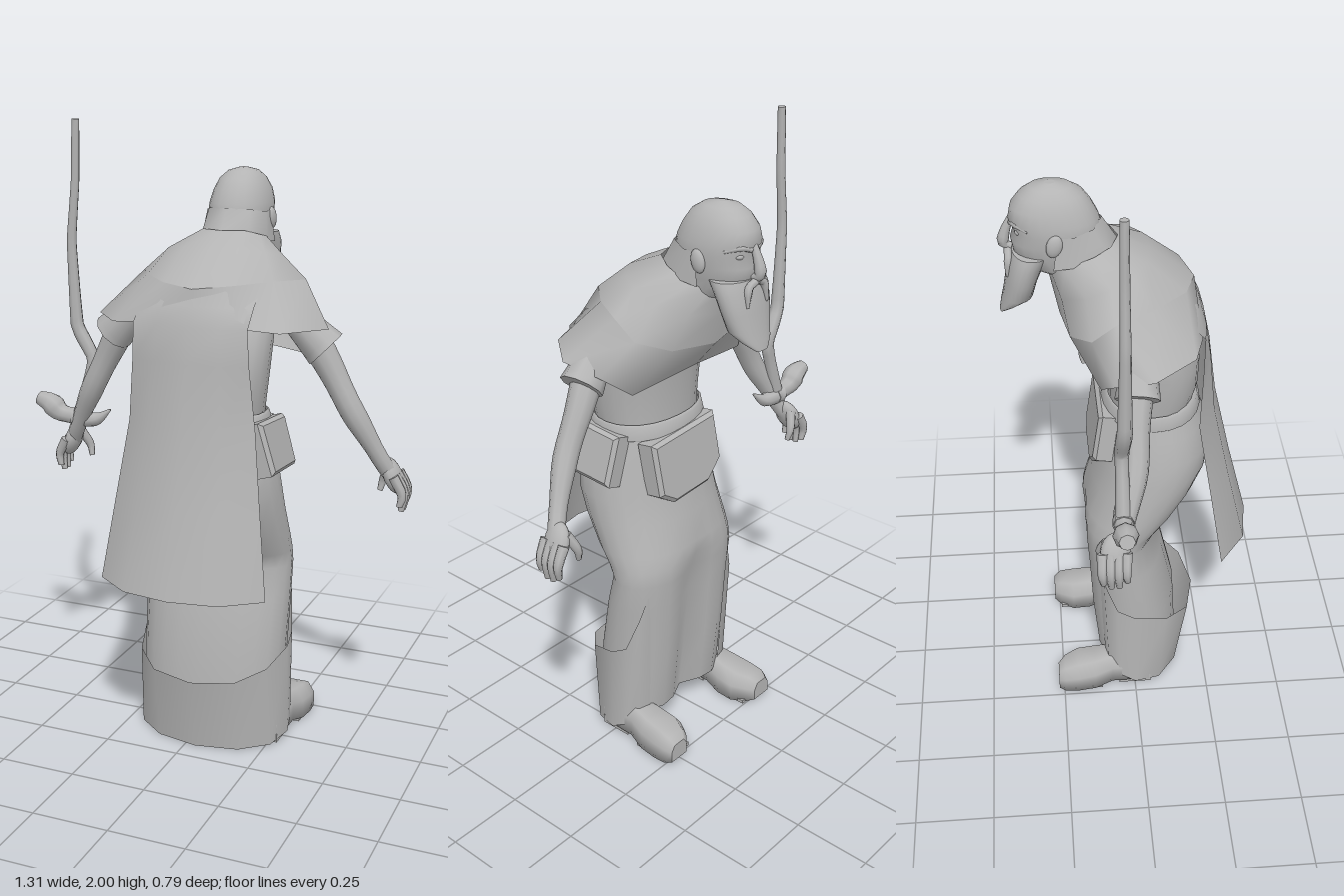
import * as THREE from 'three';

const grey = new THREE.MeshStandardMaterial({ color: 0xb4b4b4, side: THREE.DoubleSide });
grey.name = 'grey';
const V = (p) => new THREE.Vector3(...p);

function add(parent, name, geometry) {
  const mesh = new THREE.Mesh(geometry, grey);
  mesh.name = name;
  parent.add(mesh);
  return mesh;
}

// Skin a list of cross-sections; optional end caps
function loft(rings, closed = true, caps = false) {
  const n = rings[0].length, pos = rings.flat(2), idx = [];
  for (let r = 0; r < rings.length - 1; r++)
    for (let i = 0; i < (closed ? n : n - 1); i++) {
      const a = r * n + i, b = r * n + (i + 1) % n;
      idx.push(a, a + n, b, b, a + n, b + n);
    }
  if (caps) [rings[0], rings[rings.length - 1]].forEach((ring, e) => {
    const s = pos.length / 3;
    const mid = [0, 1, 2].map((k) => ring.reduce((t, p) => t + p[k], 0) / n);
    pos.push(...ring.flat(), ...mid);
    for (let i = 0; i < n; i++) {
      const j = (i + 1) % n;
      idx.push(s + n, ...(e ? [s + j, s + i] : [s + i, s + j]));
    }
  });
  const g = new THREE.BufferGeometry();
  g.setAttribute('position', new THREE.Float32BufferAttribute(pos, 3));
  g.setIndex(idx);
  g.computeVertexNormals();
  return g;
}

// Horizontal oval from back to front depth, with a dent in the middle of the front
function oval(y, back, front, rx, dent = 0, n = 24) {
  const soft = (v) => Math.sign(v) * Math.abs(v) ** 0.92;
  return Array.from({ length: n }, (_, i) => {
    const a = -i / n * Math.PI * 2;
    const x = rx * soft(Math.sin(a));
    let z = (back + front) / 2 + (back - front) / 2 * soft(Math.cos(a));
    if (Math.cos(a) < 0) z += dent * Math.exp(-((x / 0.07) ** 2));
    return [x, y, z];
  });
}

// Mirror a half outline (starting on the centre line at the back)
const closedHalf = (h) => [...h, ...h.slice(1, -1).reverse().map(([x, y, z]) => [-x, y, z])];
const openHalf = (h) => [...h.slice(1).reverse().map(([x, y, z]) => [-x, y, z]), ...h];

// Tube with a changing radius; low tension gives sharper bends
function limb(points, radii, steps = 16, sides = 10, tension = 0.5) {
  const curve = new THREE.CatmullRomCurve3(points.map(V), false, 'catmullrom', tension);
  const f = curve.computeFrenetFrames(steps);
  const rings = [];
  for (let s = 0; s <= steps; s++) {
    const t = s / steps, q = t * (radii.length - 1), k = Math.min(Math.floor(q), radii.length - 2);
    const r = THREE.MathUtils.lerp(radii[k], radii[k + 1], q - k), c = curve.getPointAt(t);
    rings.push(Array.from({ length: sides }, (_, i) => {
      const a = -i / sides * Math.PI * 2;
      return c.clone().addScaledVector(f.normals[s], r * Math.cos(a))
        .addScaledVector(f.binormals[s], r * Math.sin(a)).toArray();
    }));
  }
  return loft(rings, true, true);
}

function ball(parent, name, p, s) {
  const m = add(parent, name, new THREE.SphereGeometry(1, 14, 10));
  m.position.set(...p);
  m.scale.set(...s);
  return m;
}

function pouch(parent, name, outline, w, h, d, p, turn, tilt, roll) {
  const s = new THREE.Shape(outline.map(([x, y]) => new THREE.Vector2(x * w, y * h)));
  const g = new THREE.ExtrudeGeometry(s, {
    depth: d, bevelThickness: 0.012, bevelSize: 0.012, bevelOffset: -0.012, bevelSegments: 1 });
  g.translate(0, 0, -d / 2);
  const m = add(parent, name, g);
  m.position.set(...p);
  m.rotation.set(tilt, turn, roll, 'YXZ');
}

function buildArm(side) {
  const arm = new THREE.Group();
  arm.name = side > 0 ? 'leftArm' : 'rightArm';
  add(arm, 'sleeve', limb([[.265, 1.425, .005], [.31, 1.38, .002], [.362, 1.328, -.005]], [.05, .058, .068], 6));
  add(arm, 'arm', limb([[.3, 1.4, .005], [.375, 1.27, -.01], [.44, 1.15, -.015], [.49, 1.06, -.035], [.535, .975, -.06], [.56, .93, -.08]],
    [.05, .046, .039, .038, .028, .026]));
  const palm = ball(arm, 'palm', [.565, .925, -.087], [.028, .062, .046]);
  palm.rotation.set(.15, 0, .4);
  for (let i = 0; i < 4; i++) {
    const z = -.053 - i * .024, drop = [.02, 0, 0, .015][i];
    add(arm, 'finger', limb([[.575, .93, z], [.604, .875, z - .003], [.598, .815 + drop, z]], [.018, .016, .01], 8, 7));
  }
  add(arm, 'thumb', limb([[.55, .95, -.11], [.525, .9, -.13], [.515, .86, -.125]], [.018, .015, .009], 8, 7));
  arm.scale.x = side;
  return arm;
}

function buildShoe(side) {
  const shoe = new THREE.Group();
  shoe.name = side > 0 ? 'leftShoe' : 'rightShoe';
  // Sections along the foot: z, half width, bottom, top, sideways shift
  const rows = [[.055, .04, .02, .09, 0], [0, .05, .02, .12, 0], [-.08, .052, .02, .12, 0], [-.14, .066, .005, .108, .002],
    [-.2, .07, .003, .1, .004], [-.245, .056, .003, .09, .016], [-.268, .038, .008, .07, .022]];
  add(shoe, 'upper', loft(rows.map(([z, w, b, t, s]) => [[-w, b], [-w, b + (t - b) * .6], [-w * .6, t], [w * .6, t],
    [w, b + (t - b) * .6], [w, b]].map(([x, y]) => [x + s, y, z])), true, true));
  const heel = add(shoe, 'heel', new THREE.BoxGeometry(.085, .03, .11));
  heel.position.set(0, .015, 0);
  const sole = add(shoe, 'sole', new THREE.BoxGeometry(.115, .012, .13));
  sole.position.set(.004, .006, -.18);
  add(shoe, 'leg', limb([[-.01, .08, -.01], [-.04, .22, -.02], [-.06, .35, -.03]], [.045, .05, .06], 6));
  shoe.position.x = .2 * side;
  shoe.scale.x = side;
  return shoe;
}

function buildHead() {
  const head = new THREE.Group();
  head.name = 'head';
  const rows = [[1.46, .06, -.17, .1], [1.56, -.03, -.22, .08], [1.6, -.07, -.32, .082], [1.64, -.075, -.345, .092],
    [1.68, -.08, -.352, .098], [1.715, -.085, -.342, .1], [1.745, -.09, -.356, .098], [1.785, -.11, -.348, .088],
    [1.82, -.135, -.322, .07], [1.842, -.17, -.29, .046], [1.852, -.215, -.245, .012]];
  add(head, 'skull', loft(rows.map((r) => oval(...r)), true, true));
  // Hair fringe round the back
  const top = [[0, 1.735, -.082], [.07, 1.73, -.11], [.1, 1.72, -.17], [.1, 1.72, -.215]];
  const low = [[0, 1.66, -.035], [.08, 1.645, -.065], [.113, 1.63, -.15], [.11, 1.62, -.23]];
  add(head, 'hairFringe', loft([openHalf(top), openHalf(low)], false));
  // Full beard
  add(head, 'beard', loft([[1.645, -.225, -.35, .099], [1.61, -.25, -.362, .103], [1.55, -.275, -.373, .094],
    [1.495, -.29, -.383, .078], [1.465, -.34, -.39, .058], [1.437, -.38, -.395, .026]].map((r) => oval(...r)), true, true));
  add(head, 'nose', limb([[0, 1.745, -.347], [0, 1.7, -.366], [0, 1.66, -.373], [0, 1.648, -.35]], [.01, .014, .018, .012], 9, 8));
  for (const s of [1, -1]) {
    ball(head, 'ear', [.1 * s, 1.695, -.225], [.014, .036, .024]).rotation.x = .25;
    ball(head, 'eye', [.038 * s, 1.715, -.326], [.016, .01, .012]);
    add(head, 'brow', limb([[.012 * s, 1.733, -.349], [.045 * s, 1.743, -.336], [.078 * s, 1.732, -.3]], [.008, .01, .005], 8, 7));
    add(head, 'moustache', limb([[.005 * s, 1.642, -.361], [.035 * s, 1.625, -.36], [.045 * s, 1.57, -.366]], [.012, .013, .004], 8, 7));
  }
  return head;
}

export function createModel() {
  const model = new THREE.Group();
  model.name = 'robedOldMan';
  const body = new THREE.Group();
  body.name = 'figure';
  body.position.x = .035;
  model.add(body);

  // Robe: torso, belt, skirt
  add(body, 'torso', loft([[1.1, .195, -.07, .18], [1.17, .215, -.07, .19], [1.26, .218, -.075, .2], [1.36, .19, -.085, .205],
    [1.46, .13, -.12, .19], [1.54, .07, -.15, .14]].map((r) => oval(...r))));
  add(body, 'belt', loft([[1.08, .215, -.09, .2], [1.085, .224, -.095, .205], [1.125, .215, -.085, .198], [1.13, .2, -.075, .19]]
    .map((r) => oval(...r))));
  add(body, 'skirt', loft([[.09, .16, -.138, .24, .06], [.3, .15, -.158, .245, .06], [.5, .105, -.165, .25, .05],
    [.6, .075, -.17, .25, .04], [.65, .105, -.17, .25, .025], [.7, .15, -.16, .25, .01], [.8, .215, -.13, .246],
    [.88, .25, -.112, .242], [.96, .258, -.1, .232], [1.04, .235, -.09, .212], [1.12, .2, -.075, .19]].map((r) => oval(...r))));

  // Hem panel wrapping the back of the skirt, its ends tucked into the front
  const hemTop = [[0, .245, .22], [.14, .255, .19], [.222, .285, .11], [.254, .325, 0], [.25, .36, -.06], [.232, .48, -.105], [.19, .6, -.125]];
  const hemLow = [[0, 0, .178], [.14, 0, .15], [.23, .005, .085], [.26, .02, 0], [.25, .05, -.055], [.222, .085, -.09], [.18, .1, -.1]];
  add(body, 'hemPanel', loft([openHalf(hemTop), openHalf(hemLow)], false));

  // Long cape down the back: y, half width, edge depth, middle depth
  add(body, 'cape', loft([[1.525, .183, .075, .18], [1.47, .185, .155, .207], [1.41, .187, .213, .228], [1.3, .192, .21, .25],
    [1.1, .21, .2, .275], [.85, .243, .24, .33], [.59, .278, .28, .394]].map(([y, w, e, m]) =>
    openHalf([[0, y, m], [w * .57, y, m - (m - e) * .22], [w, y, e]])), false));

  // Two-layer shoulder mantle, meeting at a crisp edge
  const neck = [[0, 1.67, -.035], [.07, 1.67, -.06], [.1, 1.655, -.11], [.11, 1.645, -.15], [.1, 1.62, -.2], [.06, 1.6, -.24], [0, 1.585, -.25]];
  const yoke = [[0, 1.625, .06], [.09, 1.625, .045], [.16, 1.615, 0], [.195, 1.6, -.07], [.185, 1.565, -.14], [.12, 1.53, -.21], [0, 1.51, -.235]];
  const edge = [[0, 1.52, .196], [.11, 1.53, .16], [.21, 1.535, .055], [.275, 1.53, -.06], [.265, 1.47, -.13], [.17, 1.43, -.19], [0, 1.41, -.215]];
  const rim = [[0, 1.4, .2], [.18, 1.41, .205], [.275, 1.4, .175], [.385, 1.4, .045], [.355, 1.37, -.07], [.25, 1.29, -.105], [0, 1.32, -.14]];
  add(body, 'upperMantle', loft([neck, yoke, edge].map(closedHalf)));
  add(body, 'lowerMantle', loft([edge, rim].map(closedHalf)));

  body.add(buildHead());
  for (const side of [1, -1]) body.add(buildArm(side), buildShoe(side));

  // Belt pouches
  const flap = [[-.5, .5], [.5, .5], [.5, -.25], [.25, -.5], [-.3, -.5], [-.5, -.3]];
  const box = [[-.5, .5], [.5, .45], [.5, -.5], [-.45, -.47]];
  pouch(body, 'frontPouch', flap, .3, .22, .055, [.005, .98, -.085], Math.PI, -.15, .06);
  pouch(body, 'sidePouch', box, .21, .175, .05, [.214, 1.03, .09], Math.PI / 2, -.28, -.03);

  // Crooked staff with a root-like foot
  const staff = new THREE.Group();
  staff.name = 'staff';
  add(staff, 'shaft', limb([[-.475, 2, -.053], [-.482, 1.8, -.053], [-.5, 1.61, -.053], [-.488, 1.33, -.055], [-.432, 1.22, -.06],
    [-.465, 1.1, -.06], [-.49, 1.02, -.06]], [.013, .014, .015, .017, .02, .024, .02, .025], 36, 8, .12));
  add(staff, 'rootKnob', limb([[-.645, 1.065, -.06], [-.6, 1.05, -.06], [-.56, 1.02, -.06], [-.48, 1.01, -.06]], [.024, .04, .028, .032], 14, 8));
  add(staff, 'rootProng', limb([[-.51, 1.01, -.06], [-.43, 1.01, -.06], [-.37, 1.05, -.055]], [.034, .024, .003], 10, 8));
  model.add(staff);
  return model;
}
